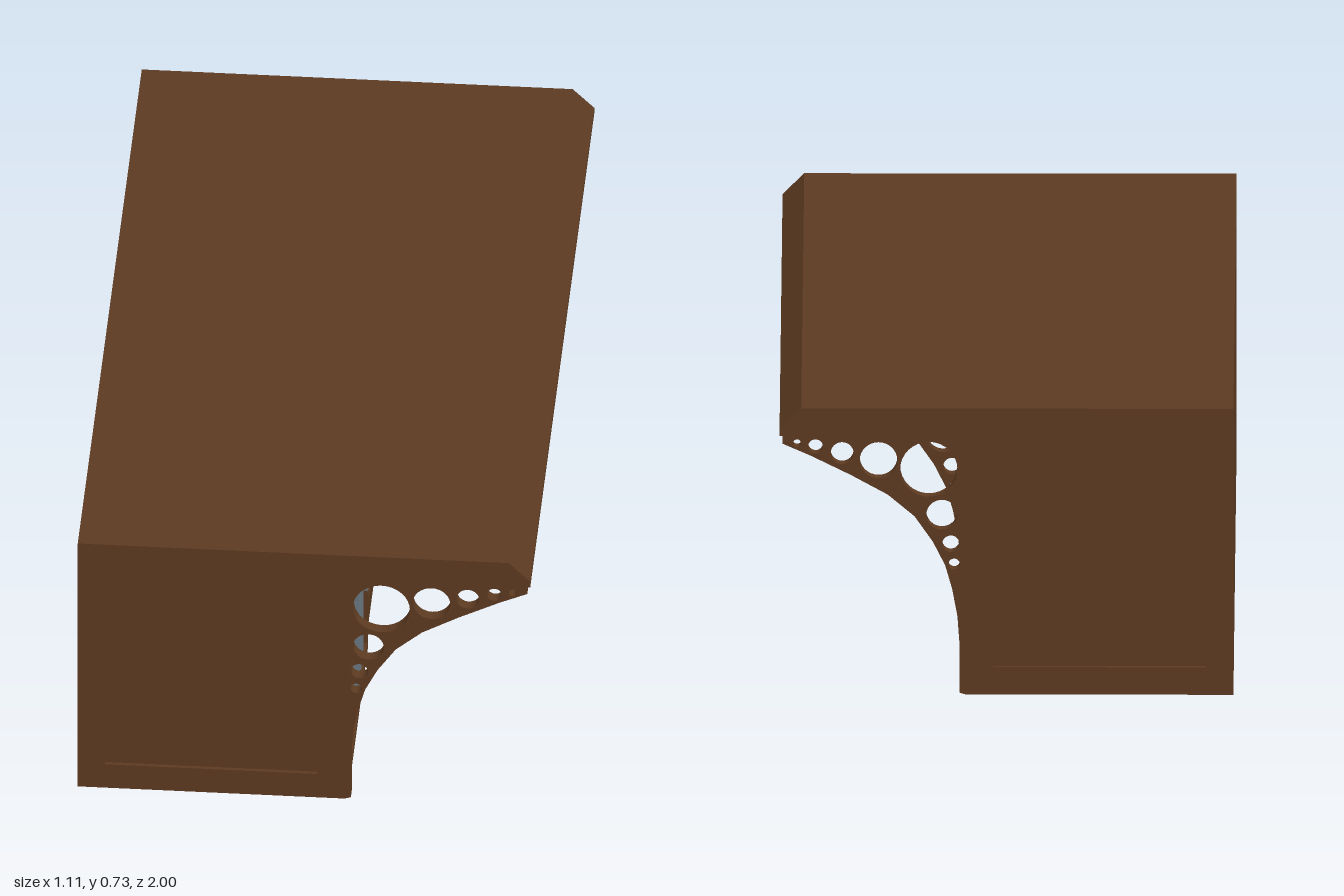
import * as THREE from 'three';

const BACK = -0.555, FRONT = 0.1, ROOF_Y = 0.66;

const mat = (name, color) => {
  const m = new THREE.MeshStandardMaterial({ color });
  m.name = name;
  return m;
};

// curved underside of the brackets, from foot to tip
const CURVE = [[0.115, 0.005], [0.115, 0.13], [0.12, 0.2], [0.133, 0.27], [0.15, 0.33], [0.18, 0.39],
  [0.225, 0.455], [0.29, 0.51], [0.38, 0.56], [0.48, 0.61], [0.548, 0.64], [0.548, ROOF_Y]];
// round cut-outs: x, y, radius
const HOLES = [[0.19, 0.575, 0.07], [0.313, 0.598, 0.046], [0.402, 0.616, 0.028], [0.467, 0.633, 0.018],
  [0.512, 0.641, 0.01], [0.158, 0.459, 0.038], [0.136, 0.385, 0.021], [0.128, 0.333, 0.014]];

const toShape = (pts, Type = THREE.Shape) => new Type(pts.map(([x, y]) => new THREE.Vector2(x, y)));

// panel outline with clipped upper corners
const panelPoints = (c) => [[c - 0.26, 0.07], [c + 0.26, 0.07], [c + 0.26, 0.462],
  [c + 0.13, 0.592], [c - 0.13, 0.592], [c - 0.26, 0.462]];

// round-topped doorway outline
function archPoints(c, r, y0) {
  const pts = [[c - r, y0], [c + r, y0]];
  for (let i = 0; i <= 24; i++) {
    const a = (i / 24) * Math.PI;
    pts.push([c + r * Math.cos(a), 0.325 + r * Math.sin(a)]);
  }
  return pts;
}

// bracket outline reaching back to x0
function bracketShape(x0) {
  const s = toShape([[x0, 0], [FRONT, 0], ...CURVE, [x0, ROOF_Y]]);
  for (const [x, y, r] of HOLES) {
    const h = new THREE.Path();
    h.absarc(x, y, r, 0, Math.PI * 2, true);
    s.holes.push(h);
  }
  return s;
}

const extrude = (shape, depth) =>
  new THREE.ExtrudeGeometry(shape, { depth, bevelEnabled: false, curveSegments: 16 });

// extrude a (z, y) outline backwards from x = front
const extrudeX = (shape, front, depth) =>
  extrude(shape, depth).rotateY(-Math.PI / 2).translate(front, 0, 0);

export function createModel() {
  const root = new THREE.Group();
  const wood = mat('brown wood', 0x5c3a21);
  const steel = mat('steel bars', 0x66727c);
  const iron = mat('grey lock', 0x6a6a6a);

  const add = (name, geo, material, parent = root) => {
    const m = new THREE.Mesh(geo, material);
    m.name = name;
    parent.add(m);
    return m;
  };
  const box = (name, x0, x1, y0, y1, z0, z1, material = wood, parent = root) =>
    add(name, new THREE.BoxGeometry(x1 - x0, y1 - y0, z1 - z0)
      .translate((x0 + x1) / 2, (y0 + y1) / 2, (z0 + z1) / 2), material, parent);

  // roof slab with a chamfered front edge
  const roof = toShape([[BACK, ROOF_Y], [0.555, ROOF_Y], [0.555, 0.677], [0.502, 0.73], [BACK, 0.73]]);
  add('roof', extrude(roof, 2).translate(0, 0, -1), wood);

  // end walls with brackets and recessed panels
  for (const side of [1, -1]) {
    const s = bracketShape(BACK);
    s.holes.push(toShape(panelPoints(-0.228), THREE.Path));
    add('endWall', extrude(s, 0.03).translate(0, 0, side > 0 ? 0.97 : -1), wood);
    add('endPanel', extrude(toShape(panelPoints(-0.228)), 0.02)
      .translate(0, 0, side > 0 ? 0.97 : -0.99), wood);
  }

  // middle bracket
  add('middleBracket', extrude(bracketShape(0.085), 0.03).translate(0, 0, -0.34), wood);

  // back wall, floor and partitions
  box('backWall', BACK, BACK + 0.02, 0, ROOF_Y, -0.97, 0.97);
  box('floor', BACK + 0.02, FRONT - 0.02, 0, 0.02, -0.97, 0.97);
  for (const z of [0.33, -0.33]) box('partition', BACK + 0.02, FRONT - 0.02, 0.02, ROOF_Y, z - 0.01, z + 0.01);

  // front wall with two doorways and a recessed middle panel
  const wall = toShape([[-0.97, 0], [0.97, 0], [0.97, ROOF_Y], [-0.97, ROOF_Y]]);
  for (const c of [0.665, -0.665]) wall.holes.push(toShape(archPoints(c, 0.285, 0.02), THREE.Path));
  wall.holes.push(toShape(panelPoints(0), THREE.Path));
  add('frontWall', extrudeX(wall, FRONT, 0.02), wood);
  add('frontPanel', extrudeX(toShape(panelPoints(0)), FRONT - 0.01, 0.01), wood);

  // barred doors
  for (const c of [0.665, -0.665]) {
    const door = new THREE.Group();
    door.name = 'barredDoor';
    root.add(door);
    const frame = toShape(archPoints(c, 0.295, 0.01));
    frame.holes.push(toShape(archPoints(c, 0.275, 0.033), THREE.Path));
    add('doorFrame', extrudeX(frame, FRONT + 0.008, 0.026), wood, door);
    for (let i = 0; i < 8; i++) {
      const dz = (i - 3.5) * 0.067;
      const top = 0.325 + Math.sqrt(0.28 ** 2 - dz ** 2);
      add('bar', new THREE.CylinderGeometry(0.007, 0.007, top - 0.03, 10)
        .translate(FRONT - 0.005, (top + 0.03) / 2, c + dz), steel, door);
    }
    box('lock', FRONT - 0.018, FRONT + 0.014, 0.232, 0.282, c - 0.275, c - 0.215, iron, door);
  }
  return root;
}
